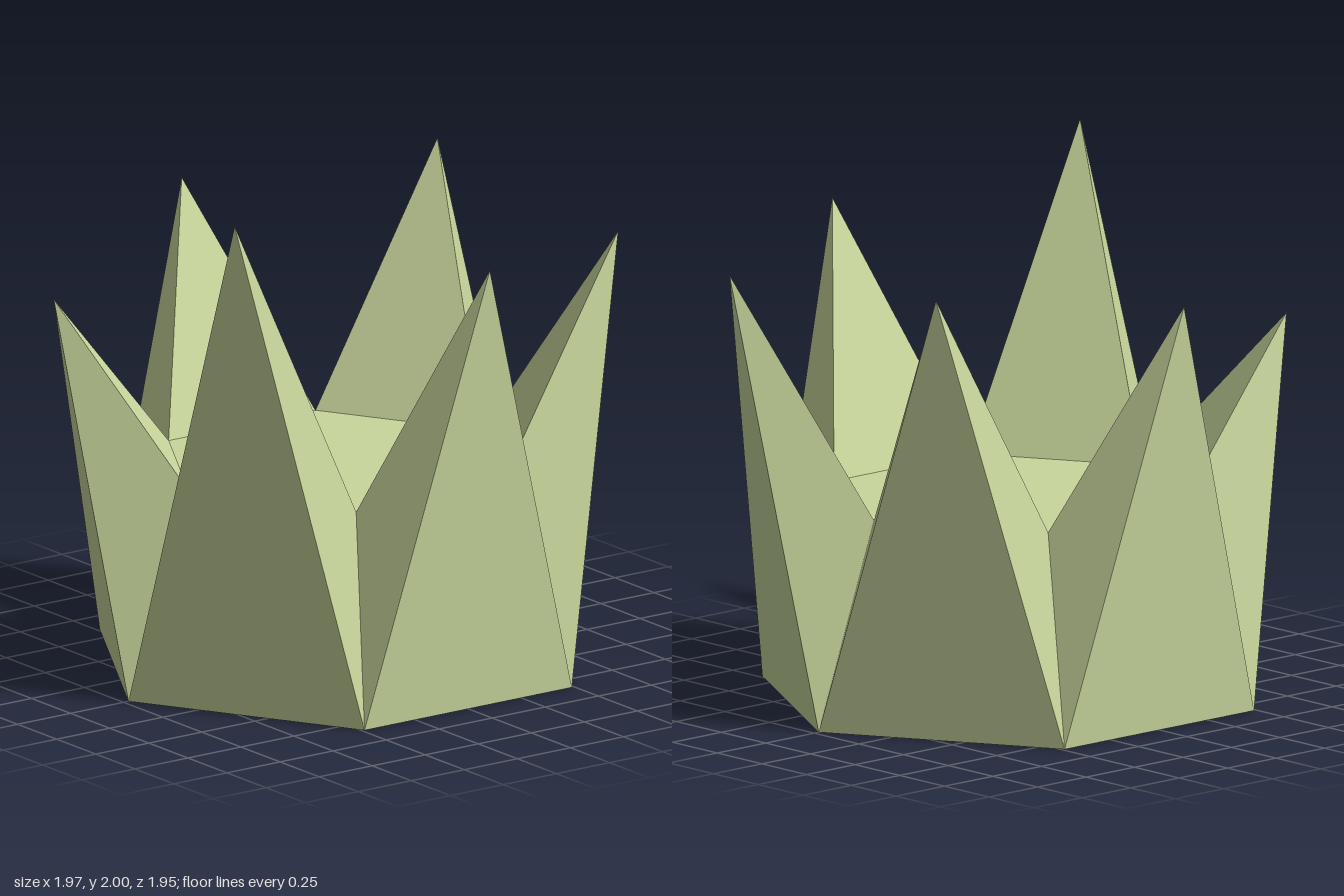
import * as THREE from 'three';

const BASE_R = 0.977, RIM_R = 0.692, RIM_Y = 0.78;

// Spike tips, going round from the front towards +x
const TIPS = [
  [0.578, 2.0, 0.903], [0.985, 1.765, 0], [0.578, 1.67, -0.905],
  [-0.578, 1.765, -0.905], [-0.985, 1.67, 0], [-0.578, 1.44, 0.903],
];

const corner = (r, y, k) => {
  const a = k * Math.PI / 3;
  return [r * Math.sin(a), y, r * Math.cos(a)];
};

// One hollow spike: outer face, two flanks, inner face
function spikeGeometry(k, tip) {
  const a = corner(BASE_R, 0, k), b = corner(BASE_R, 0, k + 1);
  const ra = corner(RIM_R, RIM_Y, k), rb = corner(RIM_R, RIM_Y, k + 1);
  const points = [a, b, tip, a, tip, ra, b, rb, tip, rb, ra, tip].flat();
  const geometry = new THREE.BufferGeometry();
  geometry.setAttribute('position', new THREE.Float32BufferAttribute(points, 3));
  geometry.computeVertexNormals();
  return geometry;
}

export function createModel() {
  const group = new THREE.Group();
  group.name = 'spikedCrown';
  const material = new THREE.MeshStandardMaterial({
    color: 0xc8d69c, flatShading: true, side: THREE.DoubleSide,
  });

  // Ring of six spikes, open underneath
  TIPS.forEach((tip, k) => {
    const spike = new THREE.Mesh(spikeGeometry(k, tip), material);
    spike.name = `spike${k + 1}`;
    group.add(spike);
  });

  // Flat hexagonal top between the spikes
  const top = new THREE.Mesh(new THREE.CircleGeometry(RIM_R, 6, Math.PI / 2), material);
  top.name = 'topPlate';
  top.rotation.x = -Math.PI / 2;
  top.position.y = RIM_Y;
  group.add(top);

  return group;
}
